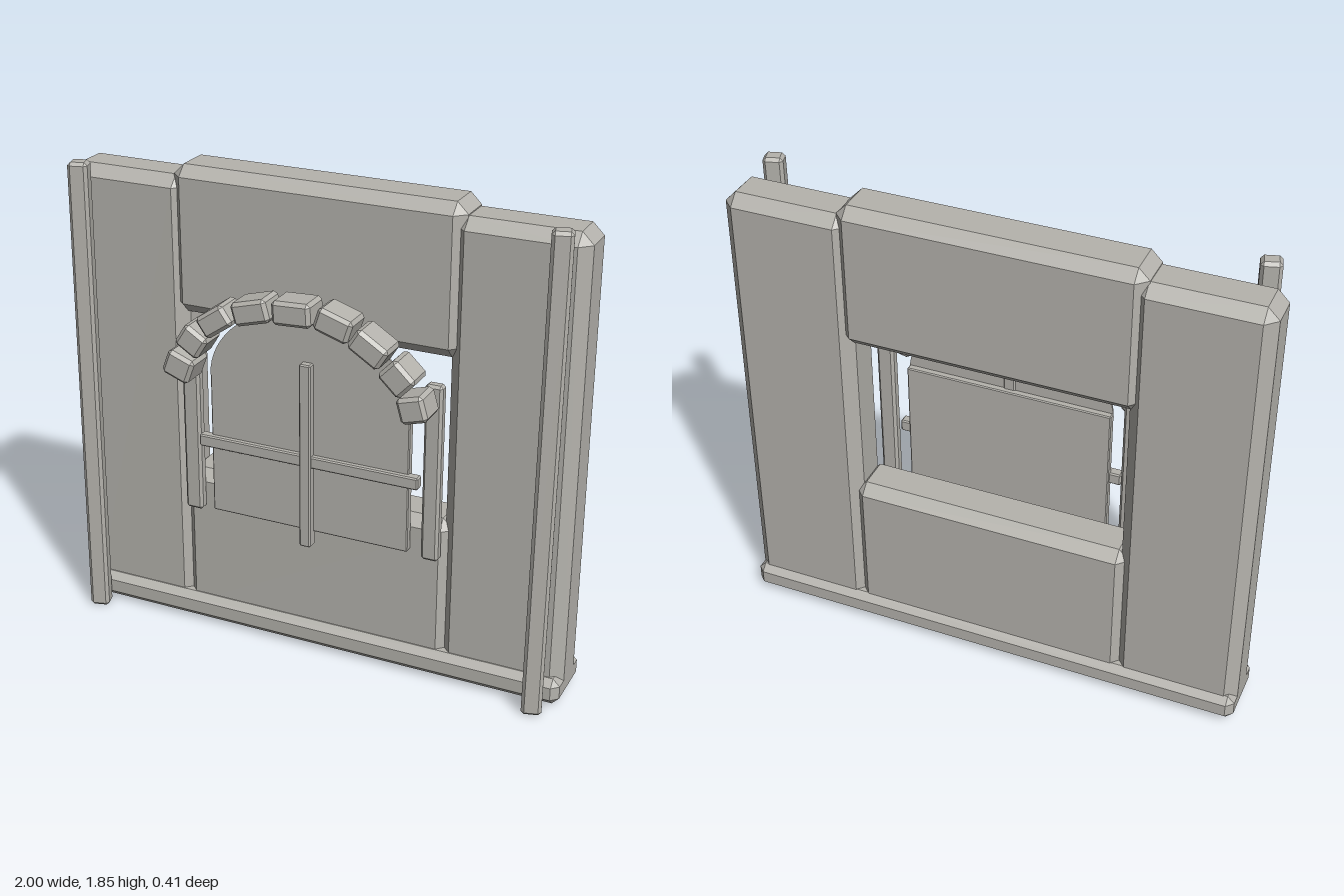
import * as THREE from 'three';
import { ConvexGeometry } from 'three/addons/geometries/ConvexGeometry.js';

const stone = new THREE.MeshStandardMaterial({ color: 0xb5b3ad });
stone.name = 'warm grey';

// Box with every edge and corner chamfered by b
function chamferBox(w, h, d, b) {
  const pts = [];
  const [x, y, z] = [w / 2, h / 2, d / 2];
  for (const i of [-1, 1]) for (const j of [-1, 1]) for (const k of [-1, 1]) {
    pts.push(
      new THREE.Vector3(i * x, j * (y - b), k * (z - b)),
      new THREE.Vector3(i * (x - b), j * y, k * (z - b)),
      new THREE.Vector3(i * (x - b), j * (y - b), k * z)
    );
  }
  return new ConvexGeometry(pts);
}

export function createModel() {
  const model = new THREE.Group();
  model.name = 'wallWithArchedWindow';

  function add(name, geometry) {
    const mesh = new THREE.Mesh(geometry, stone);
    mesh.name = name;
    model.add(mesh);
    return mesh;
  }
  // Chamfered block given by its limits on each axis
  function block(name, [x0, x1], [y0, y1], [z0, z1], b) {
    const mesh = add(name, chamferBox(x1 - x0, y1 - y0, z1 - z0, b));
    mesh.position.set((x0 + x1) / 2, (y0 + y1) / 2, (z0 + z1) / 2);
    return mesh;
  }

  // Wall panels around the opening
  block('rightWallPanel', [-1, -0.52], [0, 1.805], [-0.18, 0.022], 0.043);
  block('leftWallPanel', [0.52, 1], [0, 1.805], [-0.18, 0.022], 0.043);
  block('upperWallPanel', [-0.567, 0.563], [1.287, 1.85], [-0.183, 0.026], 0.041);
  block('lowerWallPanel', [-0.55, 0.55], [0.03, 0.65], [-0.18, 0.022], 0.041);
  block('baseBeam', [-1, 1], [0.01, 0.115], [-0.205, 0.053], 0.027);

  // Slightly twisted, leaning corner posts
  for (const [name, x] of [['rightPost', -0.906], ['leftPost', 0.923]]) {
    const post = add(name, chamferBox(0.075, 1.84, 0.066, 0.012));
    post.position.set(x, 0.921, 0.093);
    post.rotation.set(0, 0.28, -0.005);
  }

  // Window pane: rectangular lower part and thin arched top
  block('windowPane', [-0.4, 0.4], [0.52, 1.1], [0.025, 0.058], 0.004);
  const arch = new THREE.Shape();
  arch.moveTo(0.4, 1.08);
  arch.absellipse(0, 1.08, 0.4, 0.31, 0, Math.PI, false);
  arch.closePath();
  add('windowArch', new THREE.ExtrudeGeometry(arch, { depth: 0.008, bevelEnabled: false, curveSegments: 16 }))
    .position.z = 0.05;

  // Window bars and side jambs
  block('verticalBar', [-0.023, 0.022], [0.463, 1.2], [0.045, 0.088], 0.005);
  block('crossBar', [-0.443, 0.443], [0.79, 0.837], [0.04, 0.08], 0.005);
  block('rightJamb', [-0.52, -0.449], [0.506, 1.2], [0.018, 0.062], 0.01);
  block('leftJamb', [0.453, 0.52], [0.506, 1.2], [0.018, 0.062], 0.01);

  // Arch stones: x, y, width, height, tilt
  const stones = [
    [-0.457, 1.152, 0.112, 0.1, -0.36],
    [-0.4, 1.26, 0.105, 0.097, -0.56],
    [-0.305, 1.352, 0.13, 0.087, 0.61],
    [-0.16, 1.41, 0.144, 0.088, 0.27],
    [0, 1.43, 0.15, 0.09, 0.05],
    [0.16, 1.415, 0.138, 0.09, -0.31],
    [0.292, 1.35, 0.138, 0.09, -0.56],
    [0.401, 1.26, 0.112, 0.1, -0.76],
    [0.46, 1.154, 0.104, 0.097, 0.28]
  ];
  stones.forEach(([x, y, w, h, tilt], i) => {
    const mesh = add(`archStone${i + 1}`, chamferBox(w, h, 0.124, 0.013));
    mesh.position.set(x, y, 0.143);
    mesh.rotation.z = tilt;
  });

  return model;
}
